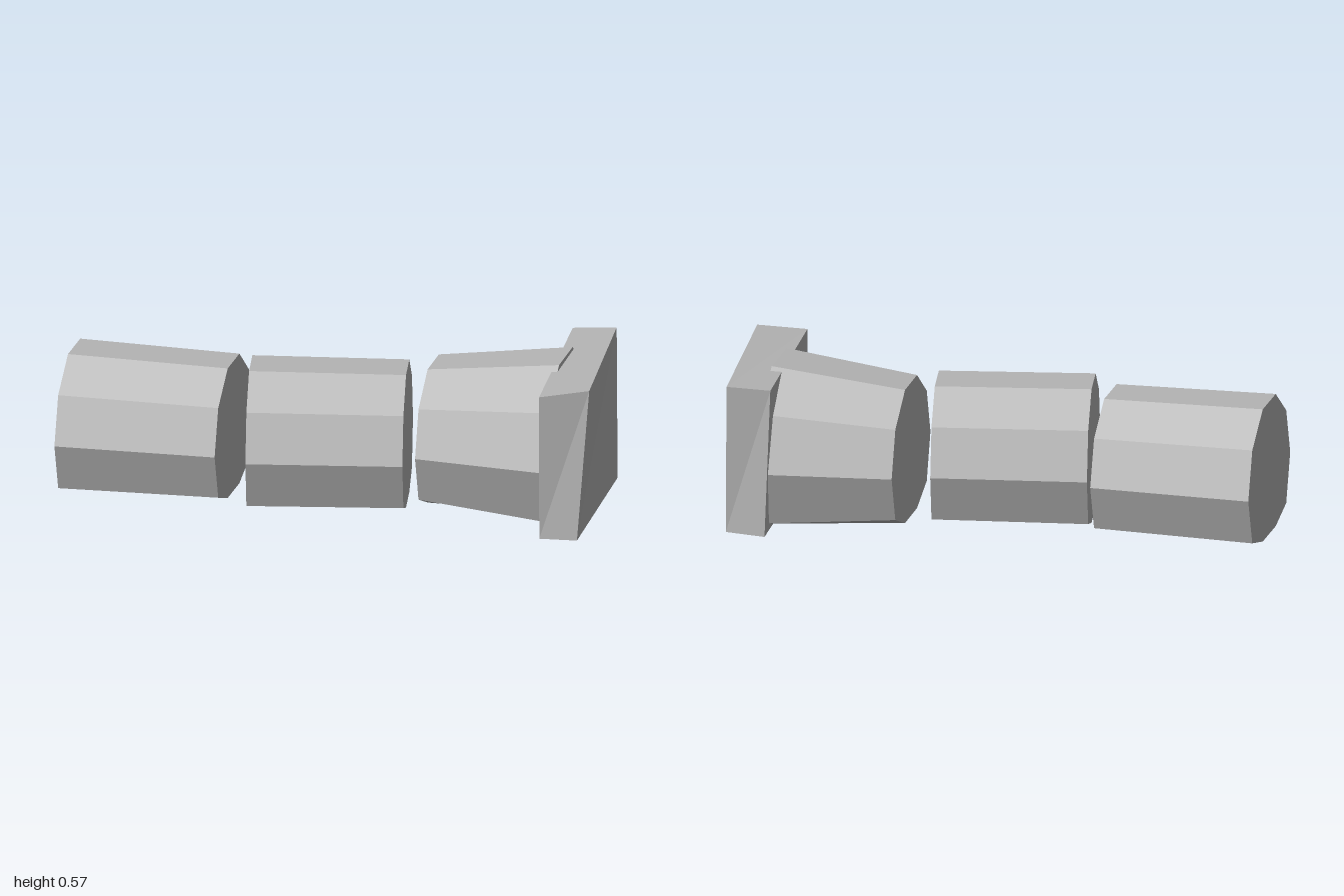
import * as THREE from 'three';

const stone = new THREE.MeshStandardMaterial({ color: 0xb4b4b4, flatShading: true });
stone.name = 'grey stone';

function addMesh(group, name, geometry) {
  const flat = geometry.toNonIndexed();
  flat.computeVertexNormals();
  const mesh = new THREE.Mesh(flat, stone);
  mesh.name = name;
  group.add(mesh);
}

// Ten-sided drum lying between two points [x, z], worn flat where it meets the ground
function drum([x0, z0], [x1, z1], r0, r1, height) {
  const g = new THREE.CylinderGeometry(r1, r0, Math.hypot(x1 - x0, z1 - z0), 10);
  g.rotateZ(-Math.PI / 2);
  g.rotateY(-Math.atan2(z1 - z0, x1 - x0));
  g.translate((x0 + x1) / 2, height, (z0 + z1) / 2);
  const p = g.attributes.position;
  for (let i = 0; i < p.count; i++) p.setY(i, Math.max(0, p.getY(i)));
  return g;
}

// Box whose corners are moved to chipped positions, keyed by side: inner/outer, bottom/top, back/front
function slab() {
  const corners = {
    '000': [0.845, 0, -0.4], '001': [0.82, 0, 0.395],
    '010': [0.825, 0.562, -0.39], '011': [0.82, 0.547, 0.4],
    '100': [0.995, 0, -0.365], '101': [0.96, 0, 0.397],
    '110': [0.987, 0.57, -0.395], '111': [1.0, 0.567, 0.36],
  };
  const g = new THREE.BoxGeometry(1, 1, 1);
  const p = g.attributes.position;
  for (let i = 0; i < p.count; i++) {
    const key = [p.getX(i), p.getY(i), p.getZ(i)].map((v) => (v > 0 ? 1 : 0)).join('');
    p.setXYZ(i, ...corners[key]);
  }
  return g;
}

export function createModel() {
  const group = new THREE.Group();
  group.name = 'fallenColumn';

  // Broken shaft pieces
  addMesh(group, 'endDrum', drum([-0.975, -0.055], [-0.375, -0.002], 0.305, 0.294, 0.22));
  addMesh(group, 'middleDrum', drum([-0.302, 0.06], [0.273, 0.01], 0.306, 0.302, 0.224));

  // Flaring piece and its square slab
  addMesh(group, 'flaredDrum', drum([0.357, -0.06], [0.855, -0.022], 0.296, 0.358, 0.232));
  addMesh(group, 'slab', slab());
  return group;
}
